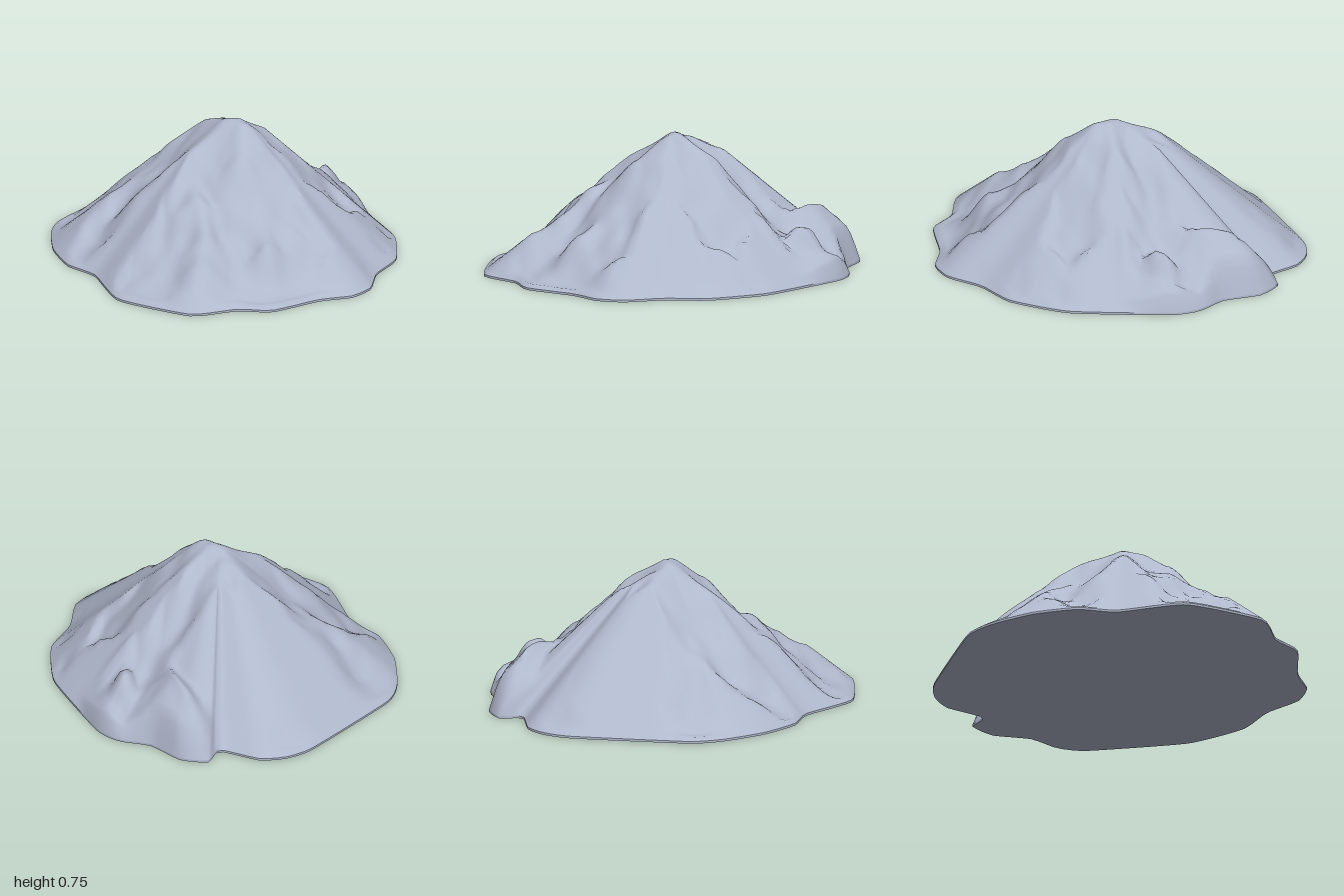
import * as THREE from 'three';

const SEGMENTS = 120, RINGS = 40;

// Footprint as [x, z], running from the back round by the left side
const OUTLINE = [
  [0.12, -1], [0.29, -0.99], [0.41, -0.92], [0.53, -0.72], [0.64, -0.78], [0.75, -0.67],
  [0.79, -0.46], [0.9, -0.32], [0.93, -0.16], [0.82, 0.38], [0.63, 0.67], [0.42, 0.79],
  [0.27, 0.95], [0.12, 0.995], [-0.06, 0.94], [-0.36, 0.93], [-0.5, 0.81], [-0.75, 0.73],
  [-0.935, 0.32], [-0.83, -0.05], [-0.86, -0.26], [-0.79, -0.5], [-0.65, -0.72], [-0.5, -0.84],
];

// Ridge crests as [x, height, z], each with the steepness of its sides
const RIDGES = [
  // back spur
  { steep: 1, crest: [[0.03, 0.74, 0.1], [0, 0.74, 0], [0.02, 0.64, -0.31], [-0.08, 0.44, -0.39], [0.08, 0.28, -0.62]] },
  // right spur
  { steep: 1.1, crest: [[0, 0.73, 0.02], [-0.3, 0.57, 0], [-0.5, 0.41, 0.04], [-0.7, 0.24, 0.06]] },
  // left spur with its steps
  { steep: 1.3, crest: [[0.05, 0.74, 0.04], [0.24, 0.63, 0.03], [0.36, 0.54, 0.06], [0.53, 0.4, 0.08], [0.62, 0.29, 0.2]] },
  { steep: 0.8, crest: [[0.35, 0.42, -0.06], [0.68, 0.2, -0.1]] },
  // back left spur
  { steep: 1, crest: [[0.05, 0.7, -0.1], [0.42, 0.48, -0.45], [0.56, 0.32, -0.54], [0.66, 0.13, -0.7]] },
  // back right shoulder
  { steep: 0.9, crest: [[-0.22, 0.43, -0.25], [-0.44, 0.29, -0.42], [-0.64, 0.17, -0.42]] },
  // front spur
  { steep: 1.4, crest: [[0.02, 0.72, 0.1], [-0.08, 0.63, 0.24], [-0.1, 0.35, 0.4], [-0.19, 0.25, 0.64]] },
  // front right spur
  { steep: 1.2, crest: [[-0.28, 0.52, 0.04], [-0.36, 0.46, 0.24], [-0.44, 0.33, 0.42], [-0.64, 0.16, 0.62]] },
  // front left peak
  { steep: 1.3, crest: [[0.04, 0.26, 0.6], [0.22, 0.5, 0.46], [0.37, 0.28, 0.48], [0.52, 0.25, 0.43]] },
  { steep: 1.2, crest: [[0.22, 0.49, 0.47], [0.16, 0.23, 0.75]] },
  // knob and shelf on the left edge
  { steep: 2.5, crest: [[0.7, 0.27, -0.1], [0.74, 0.27, -0.15]] },
  { steep: 0.9, crest: [[0.72, 0.17, -0.02], [0.87, 0.13, -0.2]] },
].map(({ steep, crest }) => ({ steep, crest: crest.map(p => new THREE.Vector3(...p)) }));

// Smooth seeded value noise
function hash(i, j) {
  const s = Math.sin(i * 127.1 + j * 311.7 + 5.3) * 43758.5453;
  return s - Math.floor(s);
}
function noise(x, z) {
  const i = Math.floor(x), j = Math.floor(z);
  const u = THREE.MathUtils.smoothstep(x - i, 0, 1), v = THREE.MathUtils.smoothstep(z - j, 0, 1);
  const { lerp } = THREE.MathUtils;
  return lerp(lerp(hash(i, j), hash(i + 1, j), u), lerp(hash(i, j + 1), hash(i + 1, j + 1), u), v) - 0.5;
}

// Height a ridge gives at (x, z): its crest height less the distance from it
function ridgeHeight({ steep, crest }, x, z) {
  let best = 0;
  for (let i = 0; i + 1 < crest.length; i++) {
    const a = crest[i], b = crest[i + 1], dx = b.x - a.x, dz = b.z - a.z;
    const s = THREE.MathUtils.clamp(((x - a.x) * dx + (z - a.z) * dz) / (dx * dx + dz * dz), 0, 1);
    const d = Math.hypot(x - a.x - s * dx, z - a.z - s * dz);
    best = Math.max(best, a.y + s * (b.y - a.y) - steep * (Math.hypot(d, 0.045) - 0.045));
  }
  return best;
}

// Terrain height; t runs from 0 at the middle to 1 at the rim
function heightAt(x, z, t) {
  let h = 0.52 * (1 - t);
  for (const ridge of RIDGES) {
    const r = ridgeHeight(ridge, x, z), k = 0.04;
    const blend = Math.max(k - Math.abs(h - r), 0) / k;
    h = Math.max(h, r) + blend * blend * k * 0.25;
  }
  const rough = 0.05 * noise(x * 6, z * 6) + 0.03 * noise(x * 12 + 7, z * 12);
  h += rough * THREE.MathUtils.smoothstep(t, 0.05, 0.3) * Math.min(1, (1 - t) * 5);
  // the rim slopes down, more like a cliff along the left edge
  const rimSlope = 0.85 + 2.5 * THREE.MathUtils.smoothstep(x, 0.5, 0.8) * THREE.MathUtils.smoothstep(-z, -0.1, 0.1);
  return 0.012 + Math.max(0, Math.min(h - 0.012, rimSlope * (1 - t)));
}

function buildGeometry(positions, indices) {
  const g = new THREE.BufferGeometry();
  g.setAttribute('position', new THREE.Float32BufferAttribute(positions, 3));
  g.setIndex(indices);
  g.computeVertexNormals();
  return g;
}

export function createModel() {
  const group = new THREE.Group();
  group.name = 'mountain';
  const rock = new THREE.MeshStandardMaterial({ color: 0xb0b8cc });
  rock.name = 'blue grey rock';

  const corners = OUTLINE.map(([x, z]) => new THREE.Vector3(x, 0, z));
  const curve = new THREE.CatmullRomCurve3(corners, true, 'catmullrom', 0.25);
  const rim = curve.getSpacedPoints(SEGMENTS).slice(0, SEGMENTS);

  // Rocky slopes: rings of the footprint shrinking to the summit
  const pos = [0, heightAt(0, 0, 0), 0], idx = [];
  for (let i = 1; i <= RINGS; i++) {
    const t = i / RINGS;
    for (const p of rim) pos.push(p.x * t, heightAt(p.x * t, p.z * t, t), p.z * t);
  }
  const at = (i, j) => 1 + (i - 1) * SEGMENTS + (j % SEGMENTS);
  for (let j = 0; j < SEGMENTS; j++) {
    idx.push(0, at(1, j + 1), at(1, j));
    for (let i = 1; i < RINGS; i++) {
      const a = at(i, j), b = at(i, j + 1), c = at(i + 1, j), d = at(i + 1, j + 1);
      idx.push(a, b, c, b, d, c);
    }
  }
  const slopes = new THREE.Mesh(buildGeometry(pos, idx), rock);
  slopes.name = 'slopes';

  // Thin edge below the slopes
  const edgePos = [], edgeIdx = [];
  rim.forEach((p, j) => {
    edgePos.push(p.x, 0.012, p.z, p.x, 0, p.z);
    const a = 2 * j, b = 2 * ((j + 1) % SEGMENTS);
    edgeIdx.push(a, b, a + 1, b, b + 1, a + 1);
  });
  const edge = new THREE.Mesh(buildGeometry(edgePos, edgeIdx), rock);
  edge.name = 'baseEdge';

  // Flat underside
  const basePos = [0, 0, 0], baseIdx = [];
  rim.forEach((p, j) => {
    basePos.push(p.x, 0, p.z);
    baseIdx.push(0, 1 + j, 1 + ((j + 1) % SEGMENTS));
  });
  const base = new THREE.Mesh(buildGeometry(basePos, baseIdx), rock);
  base.name = 'underside';

  group.add(slopes, edge, base);
  return group;
}
